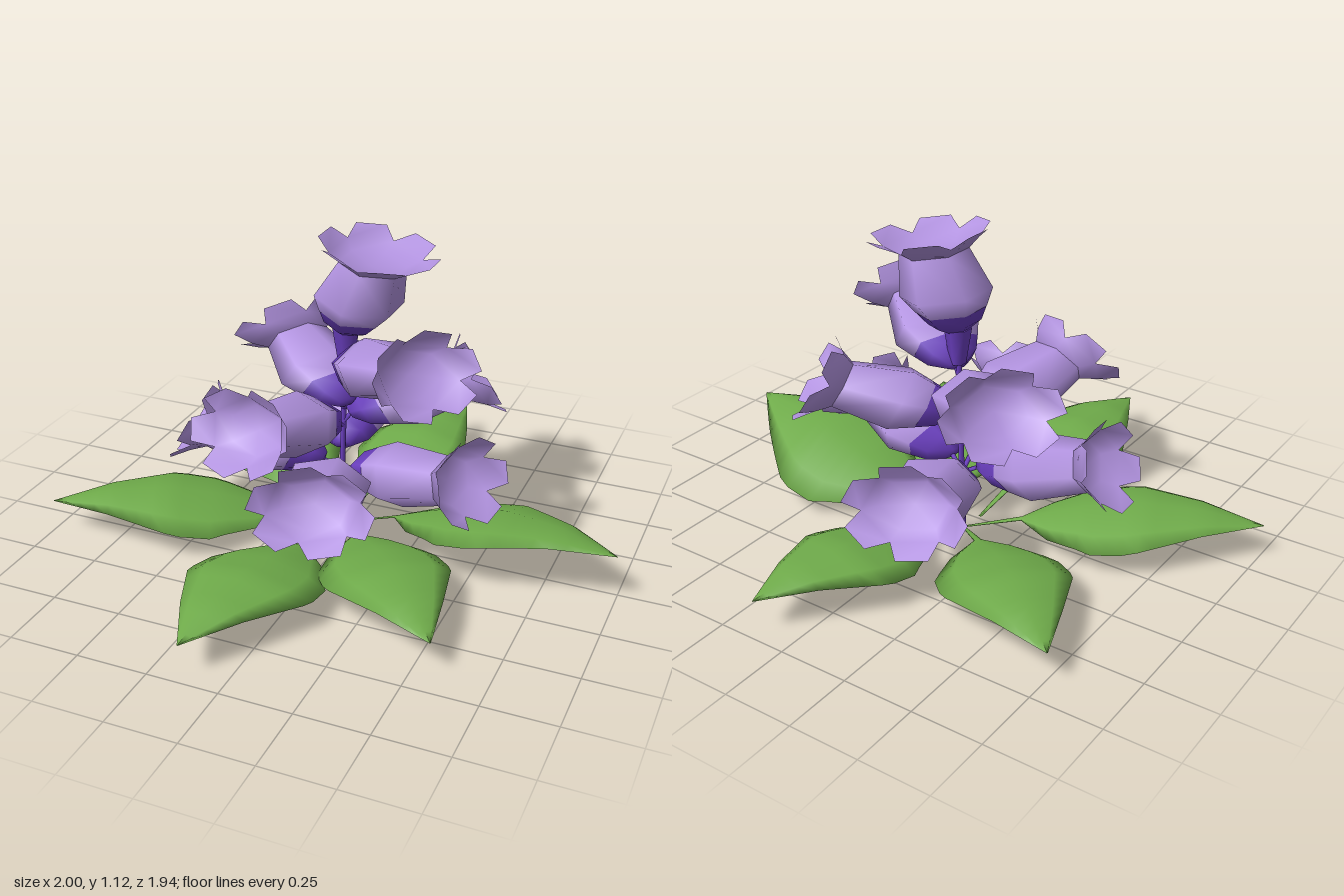
import * as THREE from 'three';
import { mergeGeometries, mergeVertices } from 'three/addons/utils/BufferGeometryUtils.js';

const V = (x, y, z) => new THREE.Vector3(x, y, z);
const lerp = THREE.MathUtils.lerp;

// Straight-line interpolation through [s, value] pairs
function sample(table, s) {
  for (let i = 1; i < table.length; i++) {
    const [s0, v0] = table[i - 1], [s1, v1] = table[i];
    if (s <= s1 + 1e-6) return lerp(v0, v1, (s - s0) / (s1 - s0));
  }
  return table[table.length - 1][1];
}

// Welds shared corners so the surface shades smoothly
function smooth(source) {
  source.deleteAttribute('uv');
  source.deleteAttribute('normal');
  const geo = mergeVertices(source, 1e-3);
  geo.computeVertexNormals();
  return geo;
}

// Moves every vertex of a geometry by a rule
function shapeBy(geo, rule) {
  const p = geo.attributes.position;
  for (let i = 0; i < p.count; i++) {
    const v = rule(p.getX(i), p.getY(i), p.getZ(i));
    p.setXYZ(i, v.x, v.y, v.z);
  }
  return geo;
}

// Leaf: thin stalk widening to an arched, lens-thick blade with drooping edges
const leafWidth = [[0, 0.006], [0.2, 0.015], [0.3, 0.13], [0.45, 0.225], [0.58, 0.235], [0.8, 0.12], [1, 0.002]];
const leafHeight = [[0, 0.003], [0.2, 0.06], [0.4, 0.115], [0.6, 0.15], [0.8, 0.148], [1, 0.115]];
function leafGeometry(base, { tip, width = 1, lift = 0, roll = 0, sweep = 0 }) {
  const dx = tip[0] - base.x, dz = tip[1] - base.z;
  const len = Math.hypot(dx, dz), ux = dx / len, uz = dz / len;
  const tube = new THREE.CylinderGeometry(1, 1, 1, 8, 20, true);
  return smooth(shapeBy(tube, (u, along, up) => {
    const s = along + 0.5;
    const w = sample(leafWidth, s) * width;
    const side = w * u + sweep * Math.sin(Math.PI * s);
    const y = sample(leafHeight, s) + lift * s - 0.22 * w * u * u + roll * w * u + 0.06 * w * up;
    return V(base.x + dx * s - uz * side, Math.max(y, 0), base.z + dz * s + ux * side);
  }));
}

// Six-sided cup and bell
const lathe = (pts) => new THREE.LatheGeometry(pts.map(([r, y]) => new THREE.Vector2(r, y)), 6);
const cupGeo = lathe([[0.001, 0], [0.035, 0.005], [0.092, 0.055], [0.128, 0.135]]);
const bellGeo = lathe([[0.122, 0.12], [0.16, 0.21], [0.12, 0.42]]);

// Flared rim: six petals joined at the root with blunt ends, around a shallow throat
const apothem = Math.cos(Math.PI / 6);
const petalHalf = [[0, 0.06], [0.5, 0.082], [1, 0.055]];
const petalOut = [[0, 0.12 * apothem], [0.5, 0.164 * apothem], [1, 0.205]];
const petalUp = [[0, 0.42], [0.5, 0.47], [1, 0.52]];
const rimParts = [lathe([[0.12, 0.42], [0, 0.41]])];
for (let i = 0; i < 6; i++) {
  const petal = shapeBy(new THREE.PlaneGeometry(2, 1, 1, 2), (u, along) => {
    const s = along + 0.5;
    return V(sample(petalHalf, s) * u, sample(petalUp, s), -sample(petalOut, s));
  });
  rimParts.push(petal.rotateY((i + 0.5) * Math.PI / 3));
}
const rimGeo = smooth(mergeGeometries(rimParts));
const flowerLength = 0.52;

// The flower spike is flattened in height
const squash = 0.65;
const tall = (x, y, z) => V(x, y / squash, z);

// Each flower: a point on its axis near the stem, and the centre of its mouth
const flowers = [
  { from: [-0.035, 0.76, -0.09], mouth: [0.09, 1.09, -0.08] },
  { from: [0.0, 0.65, -0.07], mouth: [0.36, 0.77, 0.17] },
  { from: [-0.06, 0.53, -0.08], mouth: [-0.38, 0.65, -0.34] },
  { from: [0.03, 0.475, -0.12], mouth: [0.39, 0.58, -0.34] },
  { from: [-0.08, 0.45, -0.02], mouth: [-0.21, 0.565, 0.41] },
  { from: [-0.09, 0.28, -0.2], mouth: [-0.21, 0.39, -0.64] },
  { from: [-0.13, 0.27, -0.06], mouth: [-0.59, 0.375, 0.02] },
  { from: [0.06, 0.27, -0.03], mouth: [0.5, 0.36, 0.07] },
  { from: [-0.02, 0.27, 0.04], mouth: [0.085, 0.38, 0.5] },
];

const foot = V(-0.05, 0, -0.08);
const leaves = [
  { tip: [0.14, -0.97], width: 0.9 },
  { tip: [-0.76, -0.67], width: 0.95 },
  { tip: [-1, 0.36] },
  { tip: [-0.15, 0.97], base: V(-0.06, 0, 0.01) },
  { tip: [0.56, 0.66], width: 0.95 },
  { tip: [1, 0.06], width: 1.1, lift: 0.07, roll: 0.2, sweep: -0.06 },
];

export function createModel() {
  const material = (name, color) => {
    const m = new THREE.MeshStandardMaterial({ color, side: THREE.DoubleSide });
    m.name = name;
    return m;
  };
  const lavender = material('lavender', 0xb293e0);
  const purple = material('purple', 0x6b3fc0);
  const green = material('green', 0x6fab4a);

  const model = new THREE.Group();
  model.name = 'floweringPlant';
  const add = (parent, name, geo, mat) => {
    const mesh = new THREE.Mesh(geo, mat);
    mesh.name = name;
    parent.add(mesh);
    return mesh;
  };

  // Leaves fanning out from the foot
  leaves.forEach((leaf) => add(model, 'leaf', leafGeometry(leaf.base ?? foot, leaf), green));

  const spike = new THREE.Group();
  spike.name = 'flowerSpike';
  spike.scale.y = squash;
  model.add(spike);

  // Main stem, with a thicker neck under the top flower
  const top = tall(-0.035, 0.78, -0.09);
  const stem = new THREE.LineCurve3(foot, top);
  add(spike, 'stem', new THREE.TubeGeometry(stem, 6, 0.01, 6), purple);
  const neck = add(spike, 'neck', new THREE.CylinderGeometry(0.048, 0.028, 0.2, 6), purple);
  neck.position.copy(top).y -= 0.1;

  flowers.forEach(({ from, mouth }, i) => {
    const end = tall(...mouth);
    const dir = end.clone().sub(tall(...from)).normalize();
    const base = end.clone().addScaledVector(dir, -flowerLength);

    // Short stalk joining a side flower to the stem
    if (i > 0) {
      const joint = stem.getPoint(Math.max(0, base.y - 0.06) / top.y);
      const stalk = new THREE.LineCurve3(joint, base.clone().addScaledVector(dir, 0.02));
      add(spike, 'flowerStalk', new THREE.TubeGeometry(stalk, 1, 0.01, 6), purple);
    }

    const flower = new THREE.Group();
    flower.name = 'flower';
    flower.position.copy(base);
    flower.quaternion.setFromUnitVectors(V(0, 1, 0), dir);
    add(flower, 'cup', cupGeo, purple);
    add(flower, 'bell', bellGeo, lavender);
    add(flower, 'petals', rimGeo, lavender);
    spike.add(flower);
  });

  return model;
}
